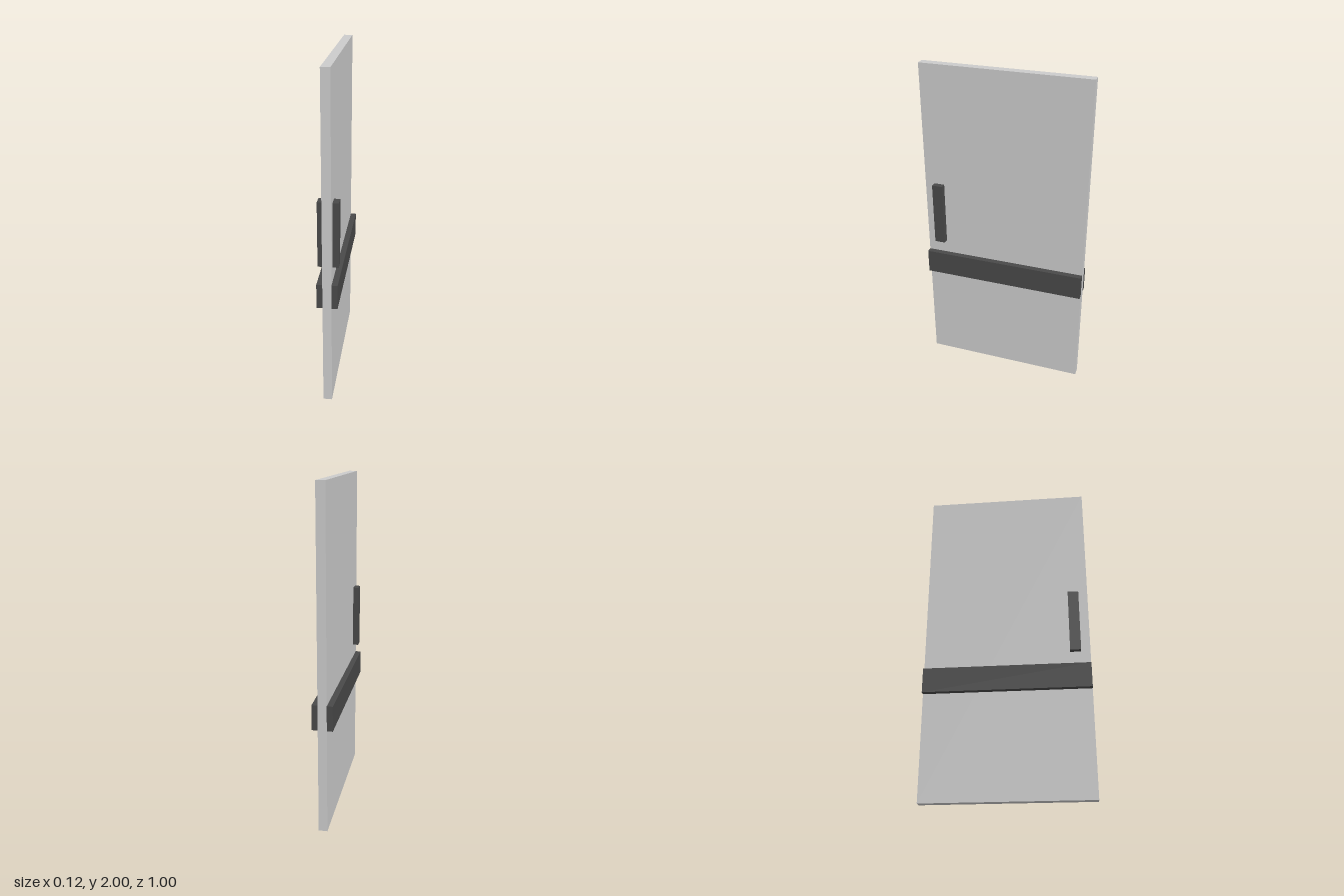
import * as THREE from 'three';

const T = 0.026; // half thickness of the door panel
const OUT = 0.06; // how far the fittings reach from the centre plane

export function createModel() {
  const door = new THREE.Group();
  door.name = 'door';
  const grey = new THREE.MeshStandardMaterial({ color: 0xcccccc });
  const dark = new THREE.MeshStandardMaterial({ color: 0x494949 });

  const addBox = (name, size, position, material) => {
    const mesh = new THREE.Mesh(new THREE.BoxGeometry(...size), material);
    mesh.name = name;
    mesh.position.set(...position);
    door.add(mesh);
  };

  // Upright slab
  addBox('doorPanel', [2 * T, 2, 1], [0, 1, 0], grey);

  // Matching fittings on both faces
  for (const [side, s] of [['left', 1], ['right', -1]]) {
    const depth = OUT - T;
    const x = s * (T + OUT) / 2;
    addBox(side + 'Handle', [depth, 0.39, 0.065], [x, 1.07, 0.412], dark);
    addBox(side + 'CrossBar', [depth, 0.15, 1], [x, 0.715, 0], dark);
  }
  return door;
}
